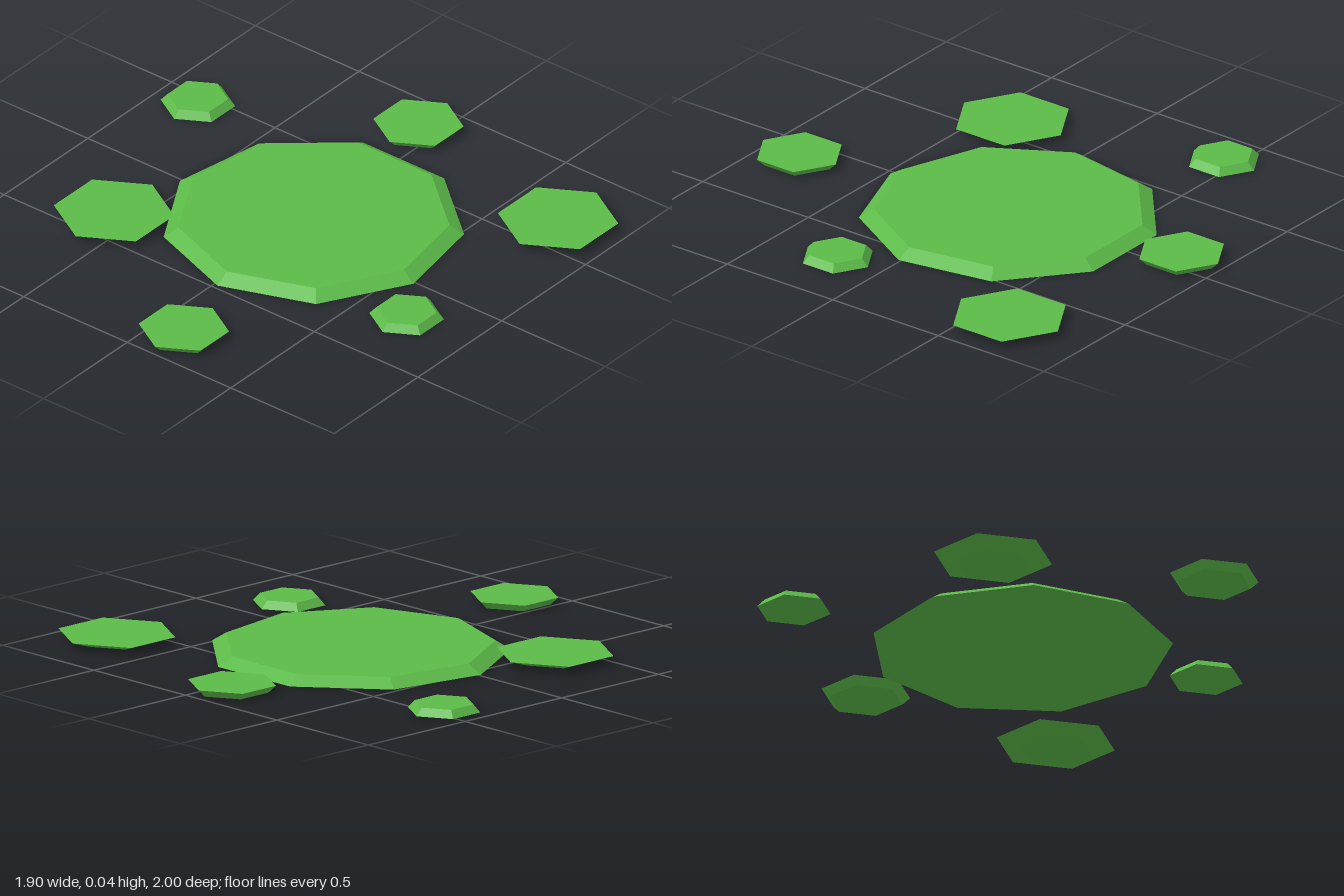
import * as THREE from 'three';

const material = new THREE.MeshStandardMaterial({ color: 0x5cba48, flatShading: true });

// Low-poly frustum slab with a corner pointing to +z
function slab(name, sides, topRadius, bottomRadius, bottom, top, x, z) {
  const geometry = new THREE.CylinderGeometry(topRadius, bottomRadius, top - bottom, sides);
  const mesh = new THREE.Mesh(geometry, material);
  mesh.name = name;
  mesh.position.set(x, (top + bottom) / 2, z);
  return mesh;
}

export function createModel() {
  const group = new THREE.Group();
  group.name = 'groundPatch';

  // Large nine-sided patch, bevelled inwards towards the top
  group.add(slab('mainPatch', 9, 0.517, 0.573, 0, 0.035, 0.017, -0.09));

  // Hexagonal patches around it: [name, top radius, bottom radius, x, z]
  const patches = [
    ['largePatchBackLeft', 0.229, 0.14, 0.75, -0.645],
    ['largePatchFrontRight', 0.229, 0.14, -0.58, 0.363],
    ['mediumPatchBack', 0.172, 0.142, -0.073, -0.828],
    ['mediumPatchFront', 0.172, 0.142, 0.132, 0.825],
    ['smallPatchRight', 0.115, 0.142, -0.83, -0.447],
    ['smallPatchLeft', 0.115, 0.142, 0.705, 0.203],
  ];
  for (const [name, topRadius, bottomRadius, x, z] of patches) {
    group.add(slab(name, 6, topRadius, bottomRadius, 0.003, 0.032, x, z));
  }
  return group;
}
